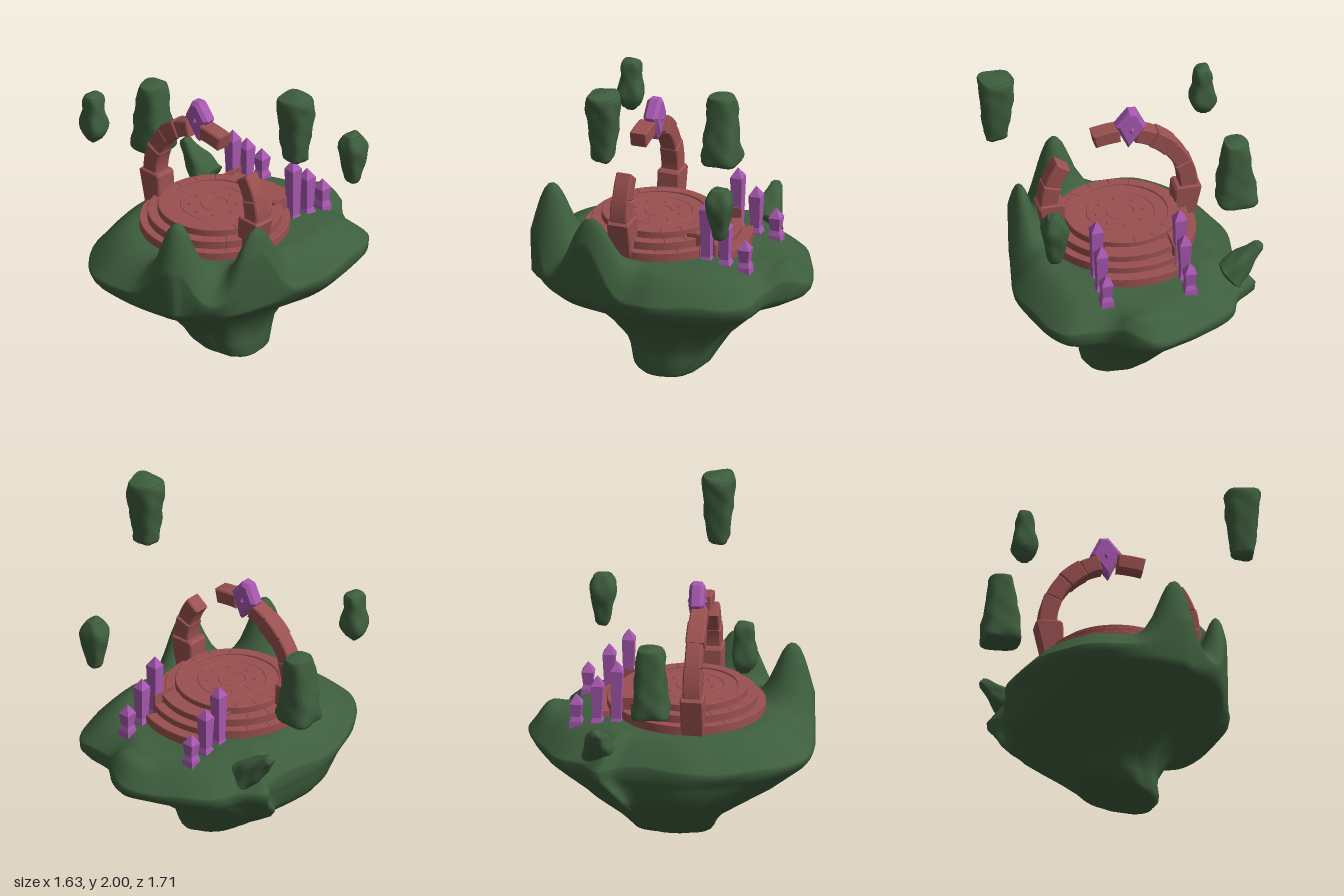
import * as THREE from 'three';

const paint = (color, flatShading = false) => new THREE.MeshStandardMaterial({ color, flatShading });
const grass = paint(0x3e5e3e);
const stone = paint(0x9a5050, true);
const crystal = paint(0xa858b0, true);

function add(parent, name, geometry, material, x = 0, y = 0, z = 0) {
  const mesh = new THREE.Mesh(geometry, material);
  mesh.name = name;
  mesh.position.set(x, y, z);
  parent.add(mesh);
  return mesh;
}

// Closed skin over loops of [x, y, z] points, listed from bottom to top
function loft(loops) {
  const n = loops[0].length, index = [];
  for (let i = 0; i < loops.length - 1; i++) {
    for (let j = 0; j < n; j++) {
      const k = (j + 1) % n;
      const a = i * n + j, b = i * n + k, c = a + n, d = b + n;
      index.push(a, c, b, b, c, d);
    }
  }
  const g = new THREE.BufferGeometry();
  g.setAttribute('position', new THREE.Float32BufferAttribute(loops.flat(2), 3));
  g.setIndex(index);
  g.computeVertexNormals();
  return g;
}

// Bevelled sector of a ring, drawn in XY and extruded along +z
function arcBlock(r0, r1, a0, a1, depth, bevel) {
  const pad = bevel / r1;
  const s = new THREE.Shape();
  s.absarc(0, 0, r1 - bevel, a0 + pad, a1 - pad, false);
  s.absarc(0, 0, r0 + bevel, a1 - pad, a0 + pad, true);
  s.closePath();
  const g = new THREE.ExtrudeGeometry(s, {
    depth: depth - 2 * bevel, bevelEnabled: true, bevelSize: bevel,
    bevelThickness: bevel, bevelSegments: 1, curveSegments: 5,
  });
  return g.translate(0, 0, bevel);
}

function makeIsland() {
  const N = 120;
  const rim = new THREE.CatmullRomCurve3([
    [0.675, -0.13], [0.64, 0.08], [0.6, 0.3], [0.54, 0.53], [0.48, 0.62], [0.34, 0.73], [0.3, 0.78], [0.17, 0.81],
    [-0.15, 0.85], [-0.33, 0.82], [-0.52, 0.64], [-0.66, 0.33], [-0.69, 0.15], [-0.66, -0.1],
    [-0.66, -0.27], [-0.73, -0.36], [-0.6, -0.47], [-0.53, -0.62], [-0.3, -0.76], [-0.17, -0.82],
    [-0.02, -0.86], [0.1, -0.81], [0.25, -0.69], [0.48, -0.66], [0.56, -0.57], [0.61, -0.42],
  ].map(([x, z]) => new THREE.Vector3(x, 0, z)), true);
  const edge = Array.from({ length: N }, (_, i) => rim.getPoint(i / N));
  const wave = (a, y) => 0.04 * Math.sin(3 * a + 7 * y) + 0.025 * Math.sin(7 * a - 14 * y) + 0.012 * Math.sin(13 * a + 25 * y);

  // Underside: [y at -x, y at +x, min x, max x, min z, max z], rounder towards the bottom
  const under = [
    [0, 0, 0.13, 0.13, 0, 0], [0.05, 0.005, 0, 0.21, -0.17, 0.17],
    [0.1, 0.03, -0.25, 0.235, -0.23, 0.24], [0.17, 0.11, -0.32, 0.23, -0.28, 0.27],
    [0.23, 0.2, -0.41, 0.235, -0.33, 0.32], [0.31, 0.3, -0.52, 0.29, -0.43, 0.43],
    [0.39, 0.39, -0.63, 0.36, -0.52, 0.54], [0.45, 0.46, -0.68, 0.48, -0.6, 0.65],
    [0.52, 0.51, -0.7, 0.6, -0.73, 0.75], [0.57, 0.56, -0.72, 0.64, -0.82, 0.82],
    [0.6, 0.6, -0.74, 0.67, -0.85, 0.845],
  ];
  const loops = under.map(([yl, yr, x0, x1, z0, z1], i) => edge.map((p) => {
    const a = Math.atan2(p.z / 0.855, (p.x + 0.035) / 0.71), jag = i / 10;
    const u = THREE.MathUtils.lerp(Math.cos(a), (p.x + 0.035) / 0.71, jag);
    const w = THREE.MathUtils.lerp(Math.sin(a), p.z / 0.855, jag);
    const k = 1 + wave(a, yl) * 0.7 * (1 - jag * 0.8);
    const y = yl + (yr - yl) * (u + 1) / 2;
    return [(x0 + x1) / 2 + u * k * (x1 - x0) / 2, y, (z0 + z1) / 2 + w * k * (z1 - z0) / 2];
  }));

  // Upper side with its peaks: [x, z, height, x spread, z spread]
  const peaks = [
    [0.23, 0.67, 1.15, 0.125, 0.13], [0.53, 0.31, 1.1, 0.09, 0.165], [0.04, -0.72, 0.78, 0.14, 0.08],
  ];
  const scales = [1, 0.985, 0.96, 0.93, 0.9, 0.87, 0.84, 0.81, 0.78, 0.75, 0.71, 0.67, 0.62, 0.56, 0.48, 0.3, 0];
  for (const s of scales) {
    loops.push(edge.map((p) => {
      const a = Math.atan2(p.z, p.x), x = p.x * s, z = p.z * s;
      const t = Math.min(1, (1 - s) / 0.32);
      const back = 0.035 * THREE.MathUtils.smoothstep(-z, 0.3, 0.55);
      let y = 0.645 + 0.17 * Math.sin(t * Math.PI / 2) - back * t + wave(a, 0.6) * 0.3 * (1 - t);
      for (const [px, pz, h, sx, sz] of peaks) {
        const q = ((x - px) / sx) ** 2 + ((z - pz) / sz) ** 2;
        y += (h - y) * Math.exp(-Math.pow(q, 1.15));
      }
      return [x, y, z];
    }));
  }
  return loft(loops);
}

// Lumpy boulder from [y, half width x, half width z] sections
function makeRock(sections, seed) {
  const N = 28, loops = [];
  const ring = (y, rx, rz) => loops.push(Array.from({ length: N }, (_, i) => {
    const a = i / N * Math.PI * 2, c = Math.cos(a), s = Math.sin(a);
    const k = Math.pow(c ** 4 + s ** 4, -0.22)
      * (0.98 + 0.04 * Math.sin(3 * a + 19 * y + seed) + 0.045 * Math.sin(4 * a - 41 * y + seed * 2));
    return [c * rx * k, y + 0.06 * rx * Math.sin(2 * a + seed), s * rz * k];
  }));
  const first = sections[0], last = sections[sections.length - 1];
  ring(first[0], 0, 0);
  ring(first[0], first[1] * 0.75, first[2] * 0.75);
  const curve = new THREE.CatmullRomCurve3(sections.map(([y, x, z]) => new THREE.Vector3(x, y, z)));
  for (let i = 0; i <= 16; i++) {
    const p = curve.getPoint(i / 16);
    ring(p.y + (i === 0 ? 0.015 : i === 16 ? -0.015 : 0), p.x, p.z);
  }
  ring(last[0], last[1] * 0.75, last[2] * 0.75);
  ring(last[0], 0, 0);
  return loft(loops);
}

export function createModel() {
  const model = new THREE.Group();
  add(model, 'island', makeIsland(), grass);

  // Leaning horn on the island's edge
  const horn = add(model, 'horn', makeRock([[0, 0.085, 0.1], [0.1, 0.07, 0.08], [0.2, 0.045, 0.05], [0.28, 0.025, 0.03]], 2), grass, -0.555, 0.725, -0.365);
  horn.rotation.z = 0.82;

  // Floating rocks
  [
    [0.71, 0.163, [[1.57, 0.068, 0.058], [1.7, 0.08, 0.077], [1.88, 0.1, 0.092], [1.97, 0.104, 0.094], [1.995, 0.09, 0.08]]],
    [-0.69, -0.043, [[1.01, 0.11, 0.1], [1.05, 0.122, 0.112], [1.15, 0.112, 0.1], [1.28, 0.09, 0.092], [1.42, 0.072, 0.082], [1.445, 0.06, 0.07]]],
    [-0.63, 0.505, [[1.3, 0.03, 0.035], [1.38, 0.077, 0.075], [1.5, 0.058, 0.062], [1.58, 0.05, 0.06], [1.615, 0.035, 0.045]]],
    [0.52, -0.495, [[1.09, 0.04, 0.04], [1.2, 0.06, 0.058], [1.32, 0.08, 0.08], [1.39, 0.05, 0.055], [1.41, 0.035, 0.04]]],
  ].forEach(([x, z, sections], i) => add(model, 'floatingRock', makeRock(sections, i * 1.7), grass, x, 0, z));

  // Round platform of stacked stone rings
  const platform = new THREE.Group();
  platform.name = 'platform';
  platform.position.set(-0.03, 0, 0.1);
  model.add(platform);
  const ringOfBlocks = (name, r0, r1, y0, y1, from, to, count) => {
    const step = (to - from) / count;
    for (let i = 0; i < count; i++) {
      const block = add(platform, name, arcBlock(r0, r1, from + i * step, from + (i + 1) * step, y1 - y0, 0.004), stone, 0, y0, 0);
      block.rotation.x = -Math.PI / 2;
    }
  };
  const turn = Math.PI * 2;
  ringOfBlocks('lowerTier', 0.3, 0.442, 0.79, 0.87, 0, turn, 20);
  ringOfBlocks('middleTier', 0.27, 0.395, 0.86, 0.92, 0.1, turn + 0.1, 18);
  ringOfBlocks('upperTier', 0.275, 0.335, 0.9, 0.963, 0, turn, 16);
  add(platform, 'floor', new THREE.CylinderGeometry(0.28, 0.28, 0.16, 48), stone, 0, 0.873, 0);
  for (const r of [0.08, 0.2]) {
    const band = add(platform, 'floorRing', new THREE.TorusGeometry(r, 0.004, 4, 40), stone, 0, 0.953, 0);
    band.rotation.x = Math.PI / 2;
  }
  for (let i = 0; i < 8; i++) {
    const a = i * turn / 8;
    add(platform, 'floorStud', new THREE.CylinderGeometry(0.014, 0.018, 0.006, 8), stone, 0.14 * Math.cos(a), 0.955, 0.14 * Math.sin(a));
  }

  // Curved stairs at the back, between two low cheeks
  [[0.555, 0.85, 0.41], [0.49, 0.89, 0.46], [0.43, 0.93, 0.53]].forEach(([r, top, half]) =>
    ringOfBlocks('stair', 0.33, r, 0.79, top, Math.PI / 2 - half, Math.PI / 2 + half, 1));
  for (const side of [-1, 1]) {
    add(platform, 'stairCheek', new THREE.BoxGeometry(0.012, 0.14, 0.17), stone, side * 0.222, 0.875, -0.35);
  }

  // Broken arch: leaning pillars and wedge stones
  const arch = new THREE.Group();
  arch.name = 'brokenArch';
  arch.position.set(-0.03, 1.05, 0.172);
  model.add(arch);
  for (const side of [-1, 1]) {
    const s = new THREE.Shape([[0.33, -0.25], [0.43, -0.25], [0.485, -0.01], [0.475, 0], [0.35, 0], [0.34, -0.01]]
      .map(([x, y]) => new THREE.Vector2(x, y)));
    const g = new THREE.ExtrudeGeometry(s, { depth: 0.12, bevelSize: 0.008, bevelThickness: 0.008, bevelSegments: 1 });
    const pillar = add(arch, 'pillar', g.translate(0, 0, -0.06), stone);
    if (side < 0) {
      pillar.rotation.y = Math.PI;
    }
  }
  const deg = Math.PI / 180;
  [[157, 181], [138, 157], [120, 138], [105, 120], [0, 17], [17, 37]].forEach(([a, b], i) => {
    const w = i % 2 ? 0.05 : 0.055;
    const r = i > 3 ? 0.425 : 0.42;
    add(arch, 'archStone', arcBlock(r - w, r + w, a * deg, b * deg, 2 * w, 0.008), stone, 0, 0, -w);
  });
  const tip = add(arch, 'archTip', arcBlock(0.82, 0.91, 85 * deg, 95.5 * deg, 0.104, 0.008), stone, -0.035, -0.44, -0.052);
  tip.rotation.z = -0.13;

  // Faceted gem at the crown of the arch
  const rhombus = new THREE.Shape([[0, -0.105], [0.07, 0.015], [0.015, 0.1], [-0.015, 0.1], [-0.07, 0.015]]
    .map(([x, y]) => new THREE.Vector2(x, y)));
  const gem = add(model, 'gem', new THREE.ExtrudeGeometry(rhombus, {
    depth: 0.05, bevelSize: 0.02, bevelThickness: 0.02, bevelSegments: 1,
  }).translate(0, 0, -0.025), crystal, -0.098, 1.515, 0.152);
  gem.rotation.z = 0.12;
  const core = add(gem, 'gemCore', new THREE.OctahedronGeometry(1), crystal);
  core.scale.set(0.065, 0.1, 0.06);

  // Two rows of square crystals flanking the stairs
  for (const x of [-0.285, 0.22]) {
    for (const [z, top] of [[-0.3, 1.19], [-0.415, 1.09], [-0.54, 0.97]]) {
      const profile = [[0, 0.75], [0.055, 0.76], [0.052, 0.8], [0.038, 0.83], [0.052, top - 0.06], [0, top]]
        .map(([r, y]) => new THREE.Vector2(r, y));
      add(model, 'crystal', new THREE.LatheGeometry(profile, 4, Math.PI / 4), crystal, x, 0, z);
    }
  }
  return model;
}
